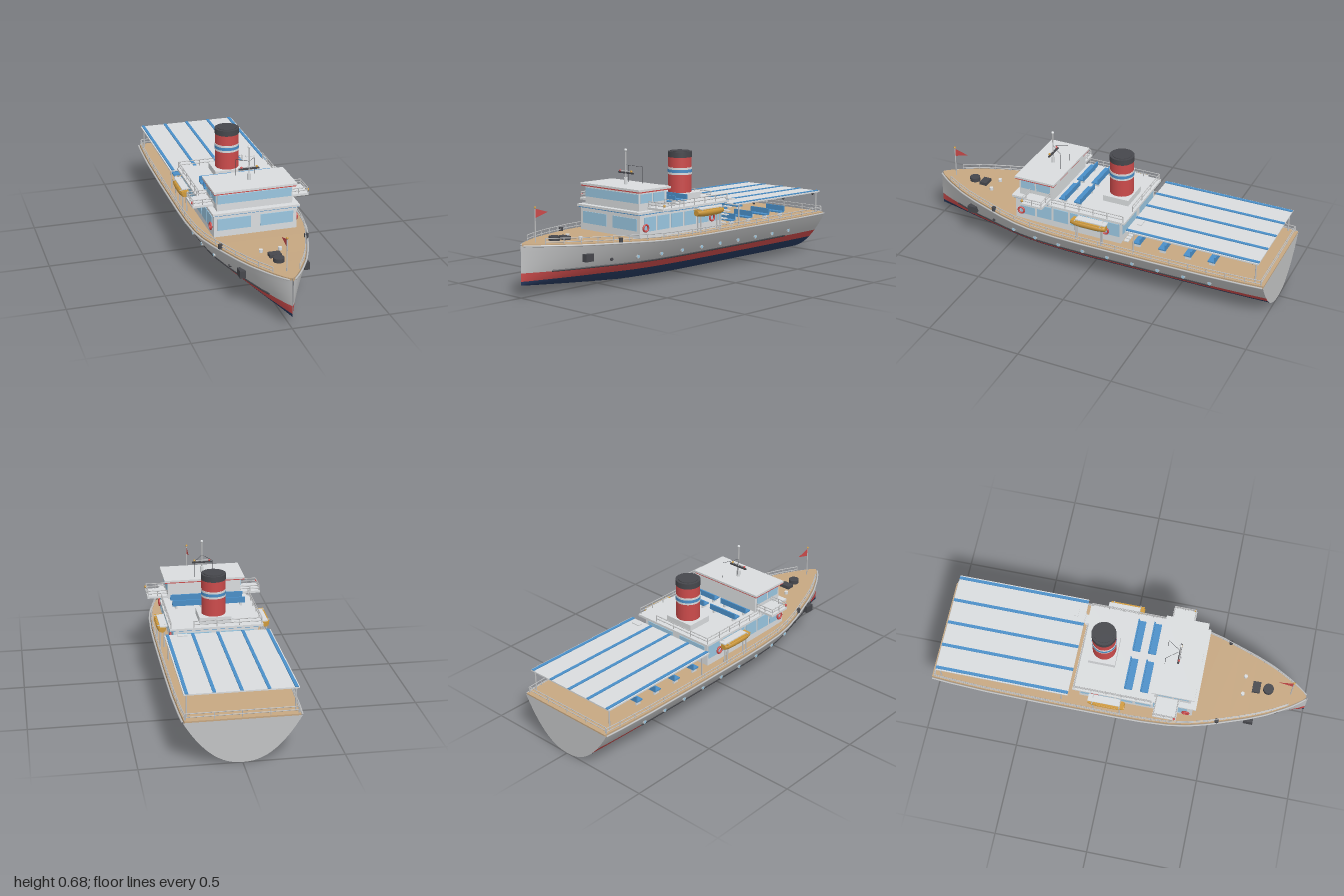
import * as THREE from 'three';

const mat = (name, color) => Object.assign(new THREE.MeshStandardMaterial({ color }), { name });
const M = {
  hull: mat('hull grey', 0xc2c3c4), white: mat('white paint', 0xd9dcde), navy: mat('navy', 0x263a60),
  red: mat('red', 0xcc4b4b), blue: mat('blue', 0x4a8fc8), glass: mat('window glass', 0x9ac6e0),
  dark: mat('dark grey', 0x46474c), gold: mat('gold', 0xcf9a3c), tan: mat('deck wood', 0xc6a781),
};
M.flag = M.red.clone();
M.flag.name = 'flag red';
M.flag.side = THREE.DoubleSide;

// Hull stations: z, half breadth, deck height, keel height
const stations = [
  [1, 0.003, 0.256, 0.062], [0.97, 0.032, 0.255, 0.058], [0.9, 0.08, 0.253, 0.051], [0.8, 0.137, 0.25, 0.042],
  [0.7, 0.18, 0.246, 0.033], [0.6, 0.215, 0.243, 0.025], [0.5, 0.25, 0.24, 0.017], [0.4, 0.277, 0.236, 0.01],
  [0.3, 0.293, 0.232, 0.006], [0.15, 0.302, 0.229, 0.002], [0, 0.304, 0.227, 0], [-0.4, 0.304, 0.226, 0],
  [-0.7, 0.301, 0.226, 0], [-0.9, 0.293, 0.226, 0], [-1, 0.286, 0.226, 0]];
function at(z) {
  let i = 0;
  while (i < stations.length - 2 && stations[i + 1][0] > z) i++;
  const a = stations[i], b = stations[i + 1], t = (z - a[0]) / (b[0] - a[0]);
  const [B, D, K] = [1, 2, 3].map(k => a[k] + (b[k] - a[k]) * t);
  return { B, D, K };
}
// Half breadth of the hull at height y
function breadth(z, y) {
  const { B, D, K } = at(z);
  return B * Math.pow(Math.max(0, (y - K) / (D - K)), 0.45);
}
// Surface through rows of points running aft; cells are ordered column by column
function grid(rows) {
  const R = rows[0].length, idx = [];
  for (let k = 0; k < R - 1; k++) for (let s = 0; s < rows.length - 1; s++) {
    const a = s * R + k, b = a + R;
    idx.push(a, b, b + 1, a, b + 1, a + 1);
  }
  const g = new THREE.BufferGeometry();
  g.setAttribute('position', new THREE.Float32BufferAttribute(rows.flat(2), 3));
  g.setIndex(idx);
  g.computeVertexNormals();
  return g;
}

export function createModel() {
  const ship = new THREE.Group();
  ship.name = 'ship';
  const add = (name, geo, m, x = 0, y = 0, z = 0) => {
    const o = new THREE.Mesh(geo, m);
    o.name = name;
    o.position.set(x, y, z);
    ship.add(o);
    return o;
  };
  // Box given by its x, y and z ranges
  const box = (name, m, x0, x1, y0, y1, z0, z1) => add(name, new THREE.BoxGeometry(Math.abs(x1 - x0), y1 - y0, z1 - z0),
    m, (x0 + x1) / 2, (y0 + y1) / 2, (z0 + z1) / 2);
  const cyl = (name, m, r, y0, y1, x, z, n = 16) =>
    add(name, new THREE.CylinderGeometry(r, r, y1 - y0, n), m, x, (y0 + y1) / 2, z);
  const ball = (name, m, r, x, y, z) => add(name, new THREE.SphereGeometry(r, 12, 8), m, x, y, z);
  const bar = (name, m, a, b, r = 0.0025) => {
    const A = new THREE.Vector3(...a), d = new THREE.Vector3(...b).sub(A);
    const o = add(name, new THREE.CylinderGeometry(r, r, d.length(), 6), m);
    o.position.copy(A).addScaledVector(d, 0.5);
    o.quaternion.setFromUnitVectors(new THREE.Vector3(0, 1, 0), d.normalize());
  };
  // Two-bar railing with a post at every point
  const rail = (name, pts, h) => pts.forEach((p, i) => {
    const up = (q, f) => [q[0], q[1] + h * f, q[2]];
    bar(name + 'Post', M.hull, p, up(p, 1));
    if (i) for (const f of [0.5, 1]) bar(name, M.hull, up(pts[i - 1], f), up(p, f));
  });
  const sides = f => [1, -1].forEach(f);

  // Hull with colour bands at fixed waterlines
  const section = z => {
    const { D, K } = at(z), ys = [];
    for (let i = 0; i <= 8; i++) ys.push(K + (0.08 - K) * (i / 8) ** 2);
    ys.push(0.1, 0.122);
    for (let i = 1; i <= 5; i++) ys.push(0.122 + (D - 0.122) * i / 5);
    const half = ys.map(y => [breadth(z, y), y, z]);
    return [...half.slice(1).reverse().map(p => [-p[0], p[1], z]), ...half];
  };
  const hullGeo = grid(stations.map(s => section(s[0])));
  const perCol = (stations.length - 1) * 6;
  for (let c = 0; c < 30; c++) {
    const k = c < 15 ? 14 - c : c - 15;
    hullGeo.addGroup(c * perCol, perCol, k < 8 ? 0 : k < 10 ? 1 : 2);
  }
  add('hull', hullGeo, [M.navy, M.red, M.hull]);
  const transom = new THREE.Shape(section(-1).map(p => new THREE.Vector2(p[0], p[1])));
  add('transom', new THREE.ShapeGeometry(transom), M.hull, 0, 0, -1).rotation.y = Math.PI;

  // Deck
  const deck = grid(stations.map(([z, B, D]) => {
    const b = Math.max(0.001, B - 0.008), zz = Math.min(z, 0.99);
    return [[b, D - 0.01, zz], [b, D + 0.008, zz], [-b, D + 0.008, zz], [-b, D - 0.01, zz]];
  })).toNonIndexed();
  deck.computeVertexNormals();
  add('deck', deck, M.tan);
  box('deckEnd', M.tan, -0.278, 0.278, 0.216, 0.234, -0.9995, -0.985);

  sides(s => {
    const curve = (z0, z1, n, f) => new THREE.CatmullRomCurve3(Array.from({ length: n + 1 }, (_, i) => {
      const z = z0 + (z1 - z0) * i / n;
      return new THREE.Vector3(...f(z));
    }));
    // Gunwale and fender strips
    add('gunwale', new THREE.TubeGeometry(curve(0.99, -0.997, 40, z => [s * at(z).B, at(z).D, z]), 80, 0.005, 6), M.hull);
    add('fender', new THREE.TubeGeometry(curve(0.86, -0.71, 30, z => [s * breadth(z, 0.125), 0.125, z]), 60, 0.006, 6), M.dark);
    // Portholes and anchor
    for (let i = 0; i < 10; i++) {
      const z = 0.57 - i * 0.1422, x = s * breadth(z, 0.158);
      const r = i ? 0.011 : 0.008;
      add('portholeRim', new THREE.CylinderGeometry(r, r, 0.012, 14), i ? M.hull : M.dark, x, 0.158, z).rotation.z = Math.PI / 2;
      if (i) add('porthole', new THREE.CylinderGeometry(0.008, 0.008, 0.016, 14), M.glass, x, 0.158, z).rotation.z = Math.PI / 2;
    }
    box('anchor', M.dark, s * 0.15, s * 0.18, 0.163, 0.201, 0.685, 0.735);
    // Main deck railing
    const pts = [0.9, 0.82, 0.74, 0.66, 0.58, 0.5, 0.4, 0.3];
    for (let z = 0.2; z > -0.95; z -= 0.1) pts.push(z);
    rail('deckRail', [...pts, -0.985].map(z => [s * (at(z).B - 0.012), at(z).D, z]), 0.036);
    // Deck bollards
    cyl('bowBollard', M.white, 0.01, 0.245, 0.268, s * 0.05, 0.655);
    cyl('sideBollard', M.dark, 0.011, 0.24, 0.268, s * 0.225, 0.545);

    // House windows and lifebuoys
    for (const [z0, z1] of [[0.41, 0.414], [-0.204, -0.2]]) box('houseWindow', M.glass, s * 0.025, s * 0.2, 0.28, 0.342, z0, z1);
    for (let i = 0; i < 6; i++) {
      const z = 0.34 - i * 0.098;
      box('sideWindow', M.glass, s * 0.22, s * 0.224, 0.275, 0.348, z - 0.042, z + 0.042);
    }
    for (const z of [0.375, -0.115])
      add('lifebuoy', new THREE.TorusGeometry(0.017, 0.005, 8, 20), M.red, s * 0.228, 0.295, z).rotation.y = Math.PI / 2;
    // Wheelhouse side windows
    box('bridgeSideWindow', M.glass, s * 0.2, s * 0.203, 0.418, 0.464, 0.215, 0.295);
    box('bridgeSideWindow', M.glass, s * 0.2, s * 0.203, 0.418, 0.464, 0.305, 0.385);
    // Bridge wing rail and lamp
    rail('wingRail', [[0.2, 0.33], [0.255, 0.33], [0.306, 0.33], [0.306, 0.27], [0.306, 0.215], [0.255, 0.215], [0.2, 0.215]]
      .map(([x, z]) => [s * x, 0.394, z]), 0.03);
    ball('wingLamp', s > 0 ? M.gold : M.red, 0.007, s * 0.309, 0.41, 0.325);
    // Upper deck rail
    rail('upperRail', [0.19, 0.11, 0.03, -0.05, -0.13, -0.22].map(z => [s * 0.238, 0.378, z]), 0.035);
    // Lifeboat: rounded hull with pointed ends, cover and davits
    const boat = new THREE.CylinderGeometry(0.026, 0.026, 0.196, 12, 8).rotateX(Math.PI / 2);
    const p = boat.attributes.position;
    for (let i = 0; i < p.count; i++) {
      const f = 1 - 0.35 * Math.abs(p.getZ(i) / 0.098) ** 4;
      p.setXY(i, p.getX(i) * f, Math.min(p.getY(i) * 0.9 * f, 0.012));
    }
    boat.computeVertexNormals();
    add('lifeboat', boat, M.gold, s * 0.274, 0.341, -0.042);
    box('lifeboatLid', M.gold, s * 0.253, s * 0.295, 0.352, 0.356, -0.13, 0.052);
    box('lifeboatCover', M.white, s * 0.246, s * 0.285, 0.356, 0.362, -0.14, 0.03);
    for (const z of [0.03, -0.115]) {
      for (const x of [0.262, 0.282]) bar('davitPost', M.hull, [s * x, 0.23, z], [s * x, 0.33, z], 0.004);
      bar('davitArm', M.hull, [s * 0.22, 0.364, z], [s * 0.298, 0.356, z], 0.003);
    }

    // Upper deck benches
    for (const z of [0.06, 0.145]) {
      box('upperBenchSeat', M.blue, s * 0.022, s * 0.195, 0.398, 0.405, z - 0.02, z + 0.02);
      box('upperBenchBack', M.blue, s * 0.022, s * 0.195, 0.405, 0.43, z - 0.022, z - 0.015);
      for (const x of [0.04, 0.175]) box('benchLeg', M.white, s * (x - 0.005), s * (x + 0.005), 0.377, 0.398, z - 0.015, z + 0.015);
    }
    // Aft benches and awning posts
    for (const z of [-0.29, -0.43, -0.57, -0.7]) {
      box('aftBenchSeat', M.blue, s * 0.09, s * 0.22, 0.255, 0.262, z - 0.02, z + 0.02);
      box('aftBenchBack', M.blue, s * 0.09, s * 0.22, 0.262, 0.29, z - 0.022, z - 0.015);
      for (const x of [0.105, 0.205]) box('benchLeg', M.white, s * (x - 0.005), s * (x + 0.005), 0.23, 0.256, z - 0.015, z + 0.015);
    }
    for (const z of [-0.29, -0.95]) bar('awningPost', M.hull, [s * 0.262, 0.23, z], [s * 0.262, 0.352, z], 0.004);
    for (const z of [-0.42, -0.67, -0.93]) ball('awningLamp', M.dark, 0.007, s * 0.255, 0.342, z);
    // Mast lamps and aerials
    ball('mastLamp', s > 0 ? M.gold : M.red, 0.006, s * 0.041, 0.558, 0.295);
    bar('aerial', M.dark, [0, 0.59, 0.295], [s * 0.05, 0.578, 0.225], 0.001);
    bar('aerial', M.dark, [s * 0.05, 0.578, 0.225], [s * 0.05, 0.488, 0.225], 0.001);
  });
  rail('sternRail', [-0.27, -0.135, 0, 0.135, 0.27].map(x => [x, 0.23, -0.985]), 0.036);
  rail('upperEndRail', [-0.238, -0.12, 0, 0.12].map(x => [x, 0.378, -0.222]), 0.035);

  // Deck house, upper deck and bridge
  box('deckHouse', M.white, -0.22, 0.22, 0.225, 0.366, -0.2, 0.41);
  box('upperDeckTrim', M.blue, -0.238, 0.238, 0.362, 0.367, -0.222, 0.2);
  box('upperDeckTrimFront', M.blue, -0.225, 0.225, 0.362, 0.367, 0.2, 0.422);
  box('upperDeck', M.white, -0.245, 0.245, 0.367, 0.379, -0.23, 0.2);
  box('upperDeckFront', M.white, -0.23, 0.23, 0.367, 0.379, 0.2, 0.428);
  box('bridgeWings', M.white, -0.31, 0.31, 0.383, 0.395, 0.21, 0.335);
  box('wheelhouse', M.white, -0.2, 0.2, 0.378, 0.475, 0.2, 0.395);
  box('bridgeWindow', M.glass, -0.195, 0.195, 0.418, 0.464, 0.395, 0.399);
  box('roofTrim', M.red, -0.217, 0.217, 0.473, 0.479, 0.187, 0.41);
  box('wheelhouseRoof', M.white, -0.219, 0.219, 0.479, 0.49, 0.184, 0.413);

  // Mast
  cyl('mastBase', M.white, 0.01, 0.488, 0.525, 0, 0.295);
  cyl('mast', M.hull, 0.0035, 0.52, 0.665, 0, 0.295, 8);
  ball('mastTop', M.white, 0.008, 0, 0.667, 0.295);
  bar('crossbar', M.hull, [-0.041, 0.558, 0.295], [0.041, 0.558, 0.295]);
  box('radarBar', M.dark, -0.055, 0.055, 0.545, 0.552, 0.288, 0.298);

  // Funnel
  box('funnelBase', M.white, -0.083, 0.083, 0.378, 0.412, -0.18, -0.035);
  for (const [name, m, r, y0, y1] of [['funnel', M.red, 0.063, 0.41, 0.602], ['funnelCap', M.dark, 0.065, 0.6, 0.63],
    ['funnelMouth', M.dark, 0.052, 0.63, 0.634], ['lowerBand', M.white, 0.065, 0.508, 0.519],
    ['blueBand', M.blue, 0.0655, 0.519, 0.535], ['upperBand', M.white, 0.065, 0.535, 0.546]])
    cyl(name, m, r, y0, y1, 0, -0.107, 32);

  // Awning with stripes
  box('awning', M.white, -0.277, 0.277, 0.35, 0.357, -0.965, -0.25);
  for (const x of [-0.262, -0.131, 0, 0.131, 0.262]) box('awningStripe', M.blue, x - 0.008, x + 0.008, 0.357, 0.361, -0.965, -0.25);

  // Steps
  for (let i = 0; i < 7; i++) box('step', M.white, 0.165, 0.215, 0.25 + i * 0.02, 0.255 + i * 0.02, -0.24 - i * 0.012, -0.215 - i * 0.012);

  // Bow gear and flag
  cyl('capstan', M.dark, 0.028, 0.25, 0.279, 0, 0.785, 20);
  box('windlass', M.dark, -0.03, 0.03, 0.25, 0.272, 0.7, 0.742);
  cyl('flagPole', M.hull, 0.003, 0.25, 0.433, 0, 0.905, 8);
  ball('flagPoleTop', M.gold, 0.006, 0, 0.434, 0.905);
  const flag = new THREE.Shape([[0, 0.428], [0, 0.382], [0.08, 0.404]].map(q => new THREE.Vector2(...q)));
  add('flag', new THREE.ShapeGeometry(flag), M.flag, 0, 0, 0.904).rotation.y = Math.PI / 2;
  return ship;
}
